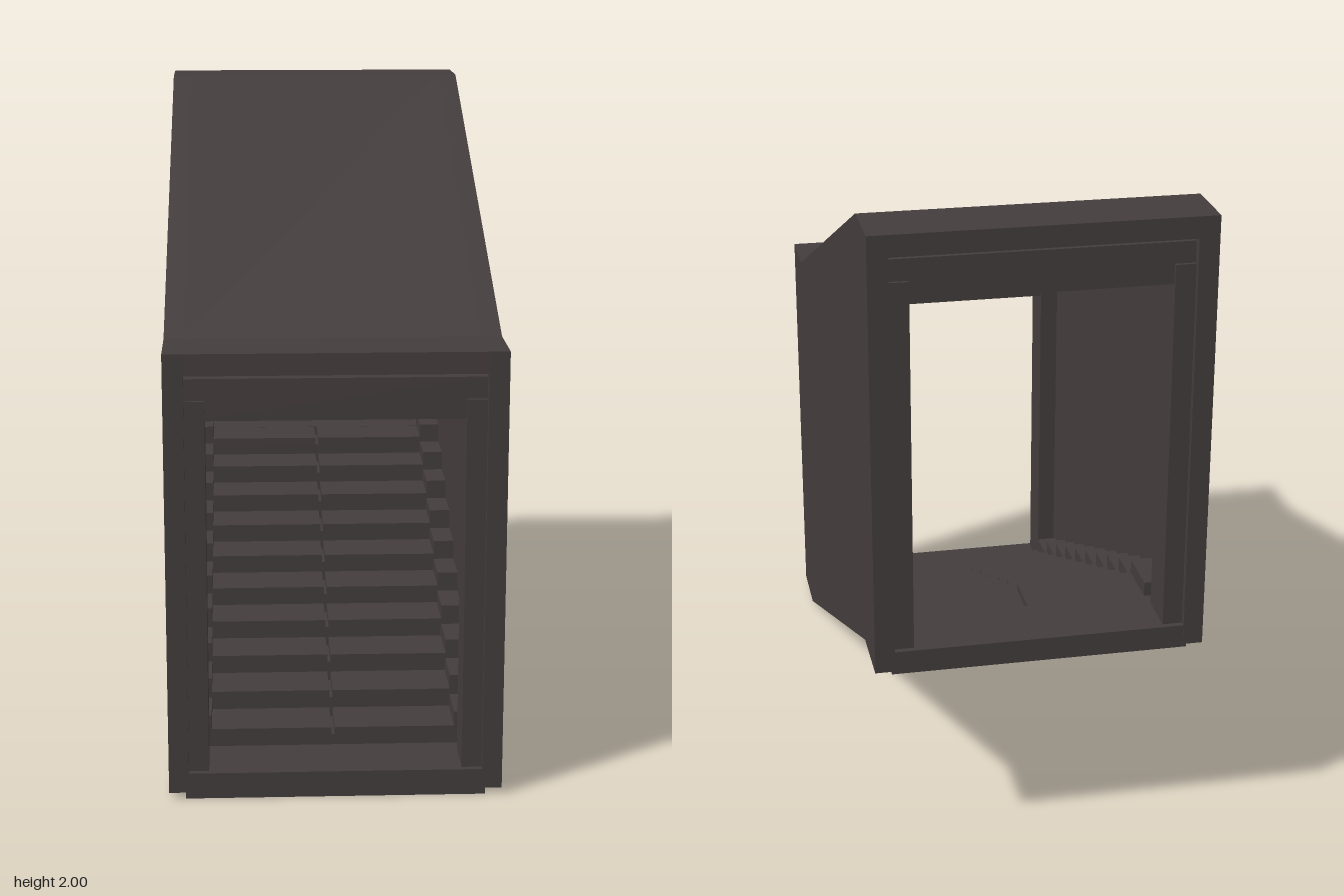
import * as THREE from 'three';

const RISE = 0.0633, RUN = 0.1483, STEPS = 10, LIFT = 0.635;

export function createModel() {
  const model = new THREE.Group();
  const stone = new THREE.MeshStandardMaterial({ color: 0x433c3c });
  stone.name = 'dark stone';

  const add = (name, geometry) => {
    const mesh = new THREE.Mesh(geometry, stone);
    mesh.name = name;
    model.add(mesh);
  };
  // Box given by its limits on each axis
  const box = (name, x0, x1, y0, y1, z0, z1) => {
    const g = new THREE.BoxGeometry(x1 - x0, y1 - y0, z1 - z0);
    g.translate((x0 + x1) / 2, (y0 + y1) / 2, (z0 + z1) / 2);
    add(name, g);
  };
  // Side profile of [z, y] points, extruded from x0 to x1
  const slab = (name, points, x0, x1) => {
    const shape = new THREE.Shape(points.map(([z, y]) => new THREE.Vector2(z, y)));
    const g = new THREE.ExtrudeGeometry(shape, { depth: x1 - x0, bevelEnabled: false });
    g.rotateY(-Math.PI / 2);
    g.translate(x1, 0, 0);
    add(name, g);
  };

  // Walls and sloping roof
  const roofLine = [[-0.95, 2], [-0.74, 2], [0.74, 1.365], [0.95, 1.365]];
  const floorLine = [[0.95, 0.02], [0.74, 0.02], [-0.74, 0.65], [-0.95, 0.65]];
  slab('leftWall', [...roofLine, ...floorLine], 0.44, 0.5);
  slab('rightWall', [...roofLine, ...floorLine], -0.5, -0.44);
  const ceilingLine = roofLine.map(([z, y]) => [z, y - 0.065]).reverse();
  slab('roof', [...roofLine, ...ceilingLine], -0.44, 0.44);

  // Landings at both ends
  box('frontLanding', -0.45, 0.45, 0, 0.08, 0.735, 0.948);
  box('backLanding', -0.45, 0.45, 0.64, 0.713, -0.948, -0.735);

  // Stairs: a body, a split tread and a skirting block at each wall
  for (let i = 0; i < STEPS; i++) {
    const y = 0.04 + i * RISE, top = y + 0.103;
    const back = 0.595 - i * RUN, front = back + RUN;
    box('stepBody', -0.445, 0.445, y, top - 0.03, back, front - 0.002);
    for (const s of [-1, 1]) {
      const [a, b] = s < 0 ? [-0.44, -0.005] : [0.005, 0.44];
      box('stepTread', a, b, top - 0.03, top, back, front + 0.015);
      const [c, d] = s < 0 ? [-0.44, -0.373] : [0.373, 0.44];
      box('stepSkirting', c, d, top - 0.01, top + 0.045, back, front + 0.015);
    }
  }

  // Door frames at both ends
  for (const [end, dir, lift] of [['front', 1, 0], ['back', -1, LIFT]]) {
    const depthBox = (name, x0, x1, y0, y1, outer, inner) =>
      box(end + name, x0, x1, y0 + lift, y1 + lift,
        Math.min(dir * outer, dir * inner), Math.max(dir * outer, dir * inner));
    for (const s of [-1, 1]) {
      const [a, b] = s < 0 ? [-0.44, -0.38] : [0.38, 0.44];
      depthBox('DoorPost', a, b, 0.075, 1.22, 0.93, 0.79);
    }
    depthBox('DoorLintel', -0.44, 0.44, 1.16, 1.285, 0.92, 0.8);
  }

  return model;
}
